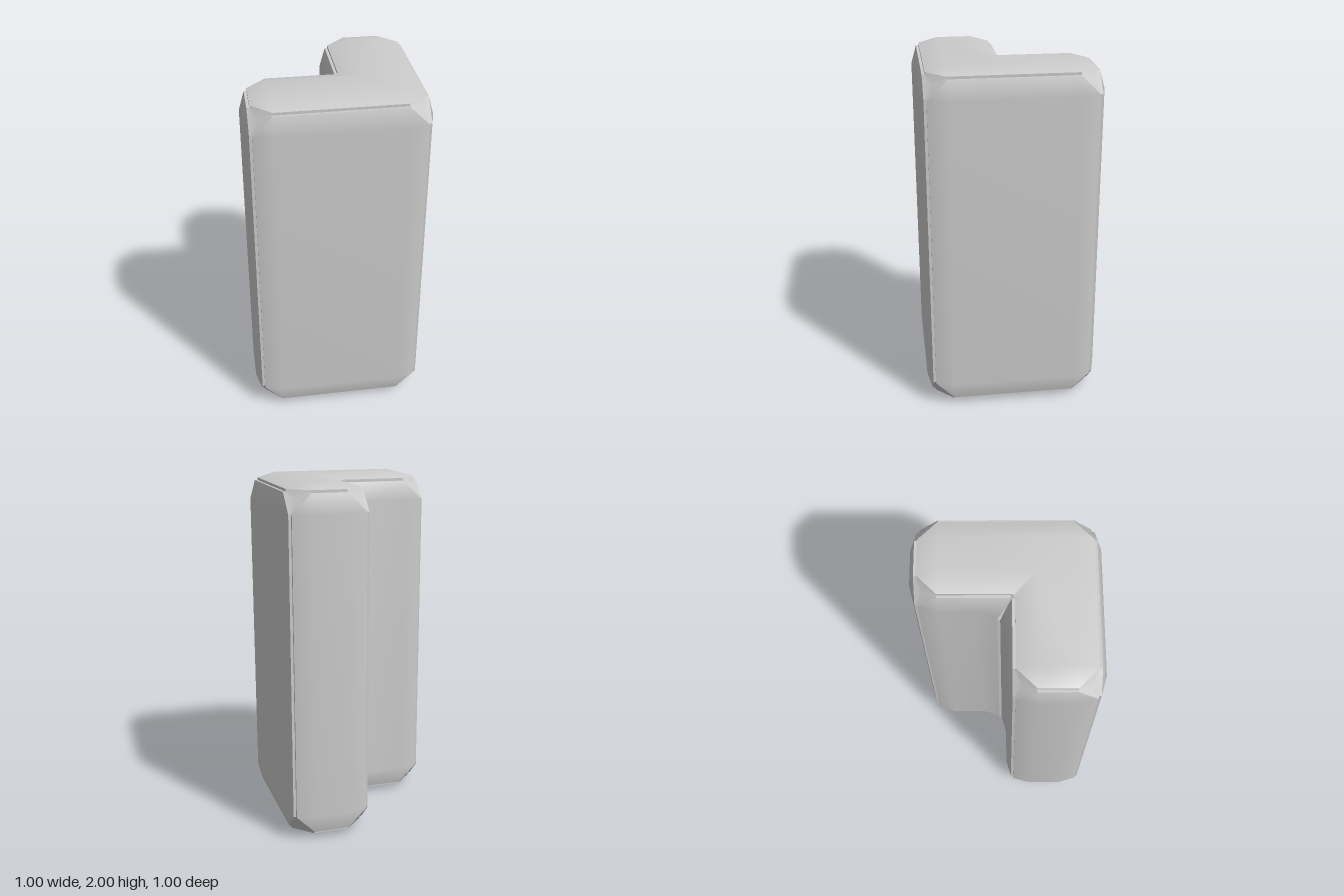
import * as THREE from 'three';

const HEIGHT = 2;
const INSET = 0.15;   // start of the pillow slope
const EDGE = 0.045;   // panel rim, measured along the panel
const DROP = 0.03;    // how far the rim sinks below the panel

// L-shaped plan as [x, z]; corner 4 is the inner one
const PLAN = [[-0.5, 0.5], [0.5, 0.5], [0.5, -0.5], [0, -0.5], [0, 0], [-0.5, 0]];
const N = PLAN.length;
const INNER = 4;

const smooth = new THREE.MeshStandardMaterial({ color: 0xcccccc });
const faceted = new THREE.MeshStandardMaterial({ color: 0xcccccc, flatShading: true });

// Polygons are fanned from their first corner
function makeMesh(name, points, polygons, material, flip = false) {
  const index = [];
  for (const p of polygons) {
    for (let i = 1; i < p.length - 1; i++) {
      index.push(p[0], ...(flip ? [p[i + 1], p[i]] : [p[i], p[i + 1]]));
    }
  }
  const geometry = new THREE.BufferGeometry().setFromPoints(points);
  geometry.setIndex(index);
  geometry.computeVertexNormals();
  const mesh = new THREE.Mesh(geometry, material);
  mesh.name = name;
  return mesh;
}

// Direction and outward normal of the wall leaving corner i
function wallFrame(i) {
  const [ax, az] = PLAN[i], [bx, bz] = PLAN[(i + 1) % N];
  const length = Math.hypot(bx - ax, bz - az);
  const dx = (bx - ax) / length, dz = (bz - az) / length;
  return { d: [dx, dz], n: [-dz, dx] };
}

// All rim, groove and panel points around one corner, at the top or bottom
function cornerPoints(i, top) {
  const sign = i === INNER ? -1 : 1;
  const reach = i === INNER ? -DROP : INSET;
  const prev = wallFrame((i + N - 1) % N), next = wallFrame(i);
  const point = (d, along, n, depth, h) => new THREE.Vector3(
    PLAN[i][0] + d[0] * along - n[0] * depth,
    top ? HEIGHT - h : h,
    PLAN[i][1] + d[1] * along - n[1] * depth);
  const side = (f, way) => ({
    flat: point(f.d, way * INSET, f.n, 0, INSET),
    upright: point(f.d, way * EDGE, f.n, sign * DROP, INSET),
    level: point(f.d, way * reach, f.n, DROP, EDGE),
    groove: point(f.d, way * reach, f.n, EDGE, EDGE),
    cap: point(f.d, way * reach, f.n, EDGE, DROP),
  });
  return {
    end: side(prev, -1),
    start: side(next, 1),
    groove: point(prev.n, -sign * EDGE, next.n, sign * EDGE, INSET),
    capFlat: point(prev.n, -INSET, next.n, INSET, 0),
  };
}

export function createModel() {
  const model = new THREE.Group();
  model.name = 'bevelledCornerBlock';
  const low = PLAN.map((_, i) => cornerPoints(i, false));
  const high = PLAN.map((_, i) => cornerPoints(i, true));

  // Pillowed wall panels
  for (let i = 0; i < N; i++) {
    const j = (i + 1) % N;
    const ring = [low[i].start, low[j].end, high[j].end, high[i].start];
    const points = ring.flatMap(c => [c.flat, c.upright, c.level]);
    model.add(makeMesh('wallPanel', points, [
      [0, 3, 6, 9],
      [2, 5, 3, 0], [4, 7, 6, 3], [8, 11, 9, 6], [10, 1, 0, 9],
      [1, 2, 0], [5, 4, 3], [7, 8, 6], [11, 10, 9],
    ], smooth));
  }

  // Stepped grooves along the upright edges
  for (let i = 0; i < N; i++) {
    const l = low[i], h = high[i];
    model.add(makeMesh('uprightGroove',
      [l.end.upright, l.groove, l.start.upright, h.end.upright, h.groove, h.start.upright],
      [[0, 1, 4, 3], [1, 2, 5, 4]], faceted));
  }

  for (const [ring, flip, end] of [[high, false, 'top'], [low, true, 'bottom']]) {
    // Pillowed end panel: three points per corner
    const points = ring.flatMap(c => [c.capFlat, c.end.cap, c.start.cap]);
    const polygons = [[4, 5, 0, 1, 2, 3].map(k => k * 3)];
    for (let i = 0; i < N; i++) {
      const a = i * 3, b = ((i + 1) % N) * 3;
      polygons.push([a + 2, b + 1, b, a], [a + 1, a + 2, a]);
    }
    model.add(makeMesh(end + 'Panel', points, polygons, smooth, flip));

    for (let i = 0; i < N; i++) {
      // Stepped groove along the level edge
      const s = ring[i].start, e = ring[(i + 1) % N].end;
      model.add(makeMesh(end + 'Groove',
        [s.level, e.level, e.groove, s.groove, e.cap, s.cap],
        [[0, 1, 2, 3], [3, 2, 4, 5]], faceted, flip));

      // Cut-off corner closing the three panels
      const c = ring[i];
      const rim = [c.end.level, c.end.upright, c.groove, c.start.upright, c.start.level,
        c.start.groove, c.start.cap, c.end.cap, c.end.groove];
      const centre = rim.reduce((sum, p) => sum.add(p), new THREE.Vector3()).divideScalar(rim.length);
      model.add(makeMesh(end + 'Corner', [centre, ...rim],
        rim.map((_, k) => [0, k + 1, (k + 1) % rim.length + 1]), smooth, flip));
    }
  }
  return model;
}
